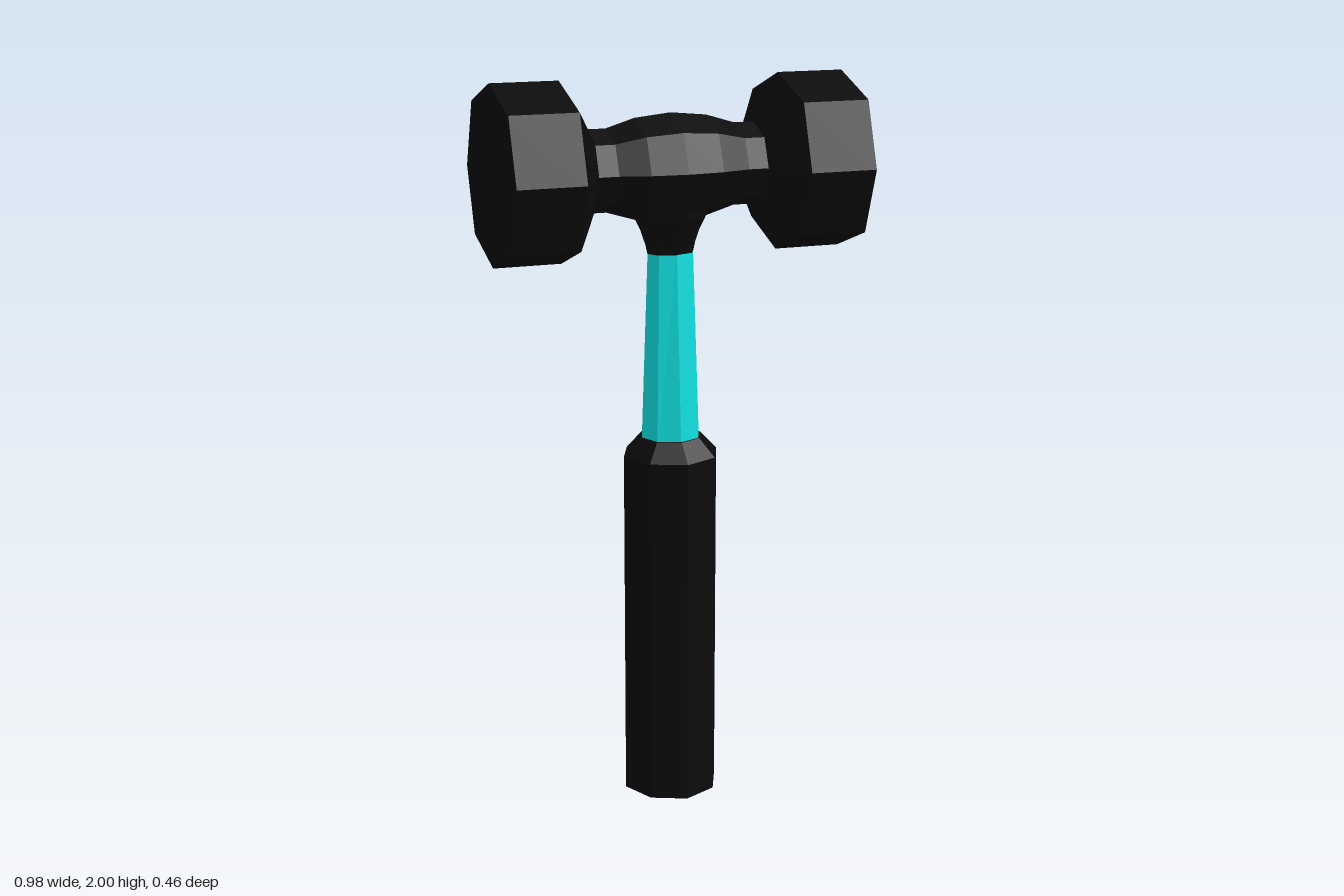
import * as THREE from 'three';

const black = new THREE.MeshStandardMaterial({ color: 0x0b0b0b, flatShading: true });
const cyan = new THREE.MeshStandardMaterial({ color: 0x10e0e0, flatShading: true });

// Capped eight-sided loft along y; each ring is [y, rx, rz], corners lie on the axes.
// diagonal scales the corners between the axes.
function loft(name, rings, material, diagonal = 1) {
  const sides = 8, pos = [], index = [];
  for (const [y, rx, rz] of rings) {
    for (let i = 0; i < sides; i++) {
      const a = (i / sides) * Math.PI * 2, k = i % 2 ? diagonal : 1;
      pos.push(Math.sin(a) * rx * k, y, Math.cos(a) * rz * k);
    }
  }
  for (let r = 0; r < rings.length - 1; r++) {
    for (let i = 0; i < sides; i++) {
      const a = r * sides + i, b = r * sides + (i + 1) % sides;
      index.push(a, b, b + sides, a, b + sides, a + sides);
    }
  }
  const top = (rings.length - 1) * sides;
  for (let i = 1; i < sides - 1; i++) {
    index.push(0, i + 1, i, top, top + i, top + i + 1);
  }
  const geo = new THREE.BufferGeometry();
  geo.setAttribute('position', new THREE.Float32BufferAttribute(pos, 3));
  geo.setIndex(index);
  const flat = geo.toNonIndexed();
  flat.computeVertexNormals();
  const mesh = new THREE.Mesh(flat, material);
  mesh.name = name;
  return mesh;
}

export function createModel() {
  const hammer = new THREE.Group();
  hammer.name = 'hammer';

  // Grip with a chamfered upper rim
  hammer.add(loft('grip', [[0, 0.135, 0.135], [0.98, 0.135, 0.135], [1.03, 0.088, 0.088]], black, 0.98));

  // Tapering shaft, thinner front to back at the top
  hammer.add(loft('shaft', [[1.0, 0.084, 0.084], [1.56, 0.064, 0.049]], cyan));

  // Collar flaring up into the head
  hammer.add(loft('collar', [
    [1.535, 0.065, 0.05], [1.56, 0.071, 0.057], [1.6, 0.085, 0.075], [1.635, 0.102, 0.095], [1.7, 0.13, 0.11],
  ], black));

  // Head lies along x: bulged barrel between two flared striking faces
  const head = new THREE.Group();
  head.name = 'head';
  head.position.y = 1.7625;
  head.rotation.z = -Math.PI / 2;
  head.add(loft('barrel', [
    [-0.235, 0.11, 0.11], [-0.18, 0.11, 0.11], [-0.1, 0.134, 0.132], [0, 0.144, 0.141],
    [0.1, 0.134, 0.132], [0.18, 0.11, 0.11], [0.235, 0.11, 0.11],
  ], black));
  for (const side of [1, -1]) {
    const face = loft(side > 0 ? 'leftStrikingFace' : 'rightStrikingFace',
      [[0.235, 0.11, 0.11], [0.305, 0.2375, 0.232], [0.49, 0.2375, 0.232]], black, 1.045);
    if (side < 0) face.rotation.x = Math.PI;
    head.add(face);
  }
  hammer.add(head);

  return hammer;
}
